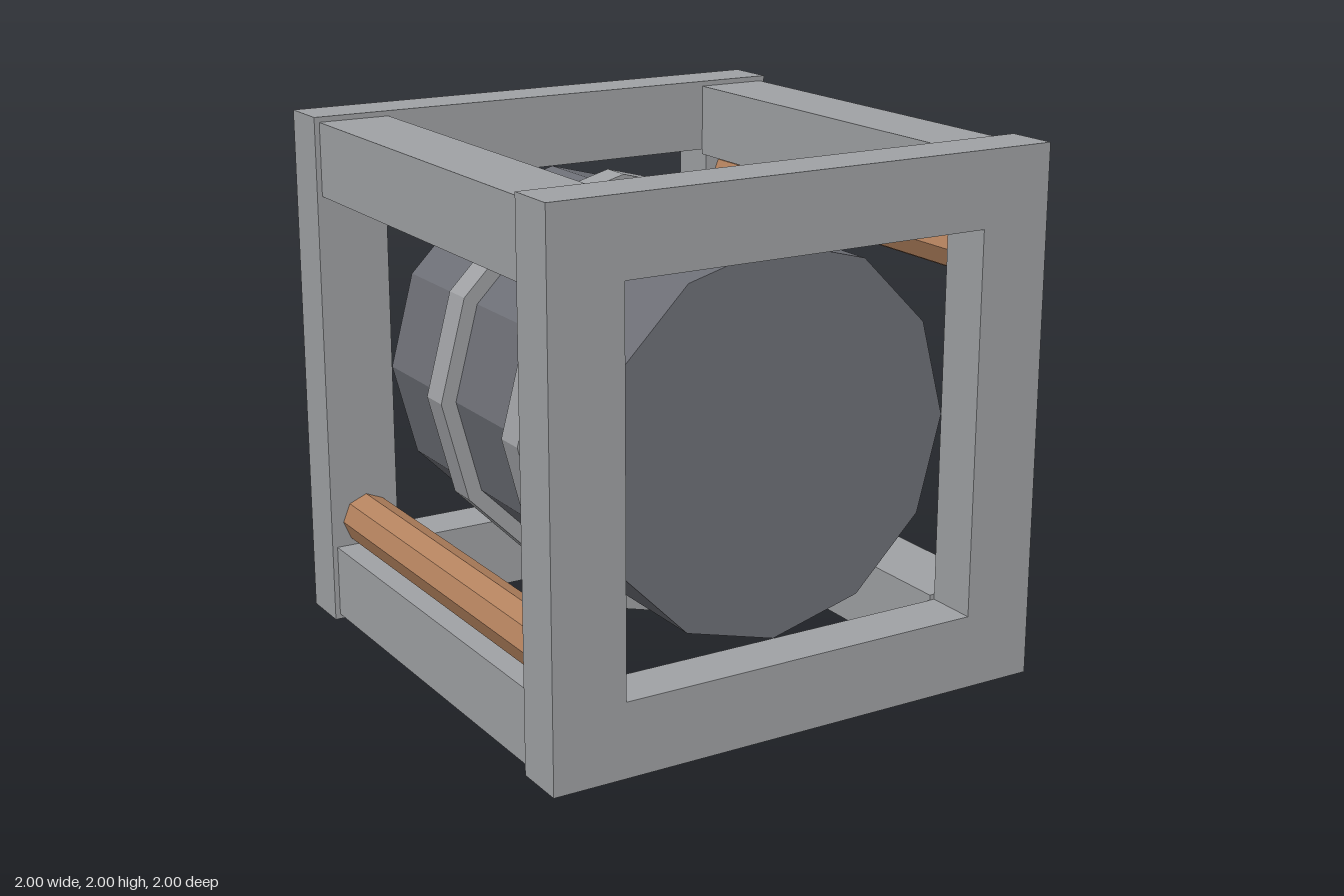
import * as THREE from 'three';

const paint = (color) => new THREE.MeshStandardMaterial({ color, flatShading: true });

export function createModel() {
  const model = new THREE.Group();
  const steel = paint(0xa0a2a5);
  const darkSteel = paint(0x6e7077);
  const copper = paint(0xb5835f);
  const brass = paint(0xd6b15c);
  const glass = paint(0x7fc8d4);

  const add = (name, geometry, material, x, y, z) => {
    const mesh = new THREE.Mesh(geometry, material);
    mesh.name = name;
    mesh.position.set(x, y, z);
    model.add(mesh);
    return mesh;
  };
  // Faceted cylinders lying along z or along x
  const alongZ = (radius, length, sides) =>
    new THREE.CylinderGeometry(radius, radius, length, sides).rotateX(Math.PI / 2);
  const alongX = (radius, length, sides) =>
    new THREE.CylinderGeometry(radius, radius, length, sides, 1, false, Math.PI / 2).rotateZ(-Math.PI / 2);

  // Square end frames with a square opening
  const square = (path, h) =>
    path.moveTo(-h, -h).lineTo(h, -h).lineTo(h, h).lineTo(-h, h).closePath();
  const outline = square(new THREE.Shape(), 1);
  outline.holes.push(square(new THREE.Path(), 0.72));
  const frame = new THREE.ExtrudeGeometry(outline, { depth: 0.2, bevelEnabled: false });
  add('frontFrame', frame, steel, 0, 1, 0.8);
  add('backFrame', frame, steel, 0, 1, -1);

  // Four corner rails joining the frames
  const rail = new THREE.BoxGeometry(0.28, 0.28, 1.6);
  for (const sx of [-1, 1]) {
    for (const sy of [-1, 1]) {
      add((sy > 0 ? 'upper' : 'lower') + (sx > 0 ? 'Left' : 'Right') + 'Rail',
        rail, steel, sx * 0.84, 1 + sy * 0.84, 0);
    }
  }

  // Twelve-sided tank with two raised bands
  add('tank', alongZ(0.72, 1.6, 12), darkSteel, 0, 1, 0);
  const band = alongZ(0.78, 0.12, 12);
  add('frontBand', band, steel, 0, 1, 0.3);
  add('backBand', band, steel, 0, 1, -0.3);

  // Pipes at diagonally opposite corners
  const pipe = alongZ(0.1, 1.6, 8);
  add('upperPipe', pipe, copper, 0.85, 1.6, 0);
  add('lowerPipe', pipe, copper, -0.85, 0.4, 0);

  // Valve wheel on the upper pipe
  add('valveWheel', alongX(0.155, 0.08, 10), steel, 0.88, 1.6, -0.4);

  // Plate and round gauge on the side of the tank
  add('sidePlate', new THREE.BoxGeometry(0.04, 0.24, 0.6), brass, 0.737, 1.165, 0.1);
  add('gauge', alongX(0.08, 0.04, 8), glass, 0.738, 0.76, 0.2);

  return model;
}
